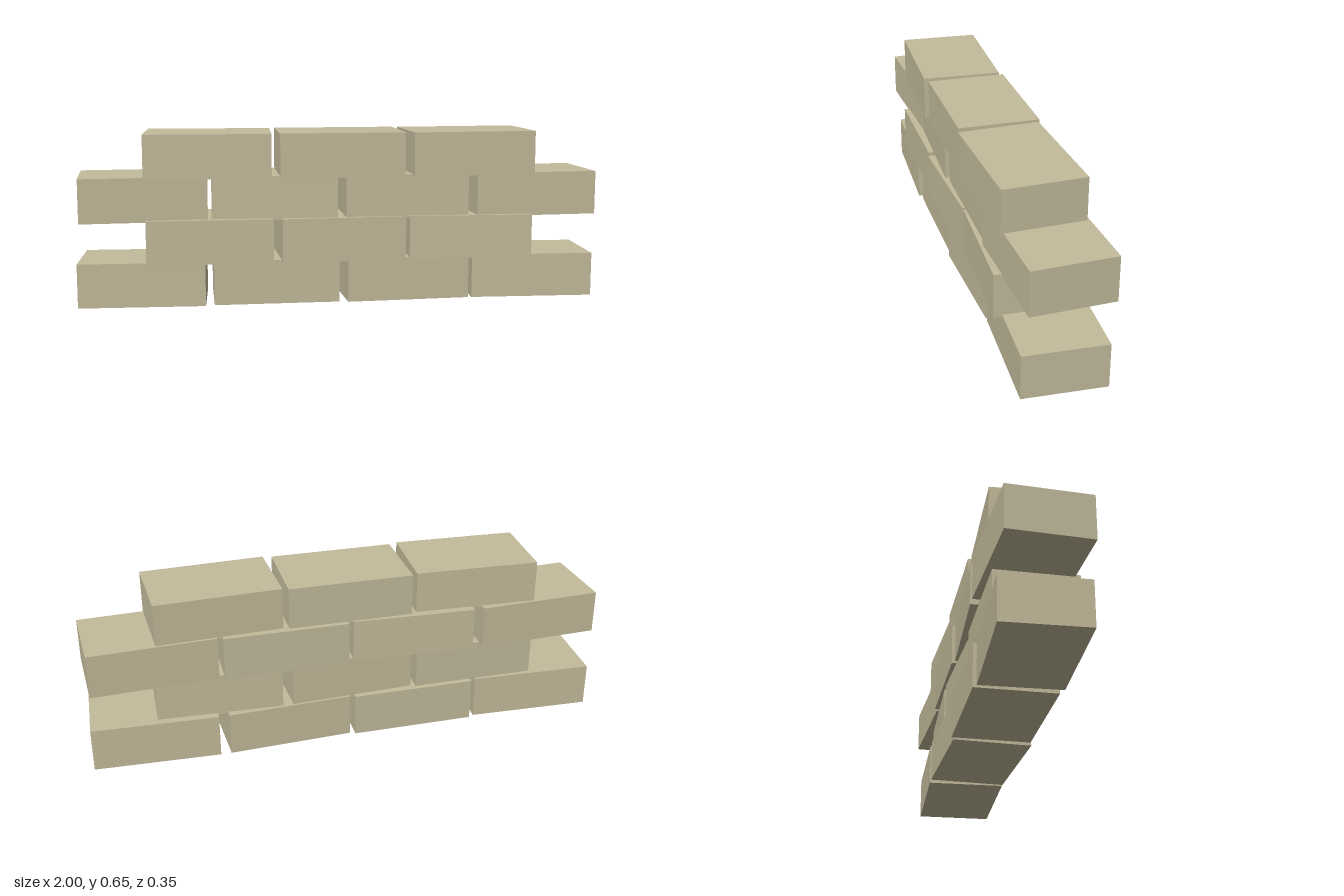
import * as THREE from 'three';

// Low wall of four staggered courses of slightly turned blocks
const W = 0.477, H = 0.168, D = 0.306;   // block size
const PITCH = 0.5035, RISE = 0.161;      // spacing along and up the wall
const TURN = 0.0425;                     // yaw of the crooked blocks

export function createModel() {
  const wall = new THREE.Group();
  wall.name = 'blockWall';

  const stone = new THREE.MeshStandardMaterial({ color: 0xc4bb9c });
  stone.name = 'sandStone';
  const blockGeometry = new THREE.BoxGeometry(W, H, D);

  for (let row = 0; row < 4; row++) {
    const course = new THREE.Group();
    course.name = `course${row + 1}`;
    // Courses alternate between four and three blocks, stepping back and forth
    const count = row % 2 ? 3 : 4;
    course.position.set(0, H / 2 + row * RISE, row % 2 ? 0.01 : -0.01);

    for (let i = 0; i < count; i++) {
      const block = new THREE.Mesh(blockGeometry, stone);
      block.name = `block${i + 1}`;
      block.position.x = (i - (count - 1) / 2) * PITCH;
      block.rotation.y = ((i + row) % 3 - 1) * TURN;
      course.add(block);
    }
    wall.add(course);
  }
  return wall;
}
